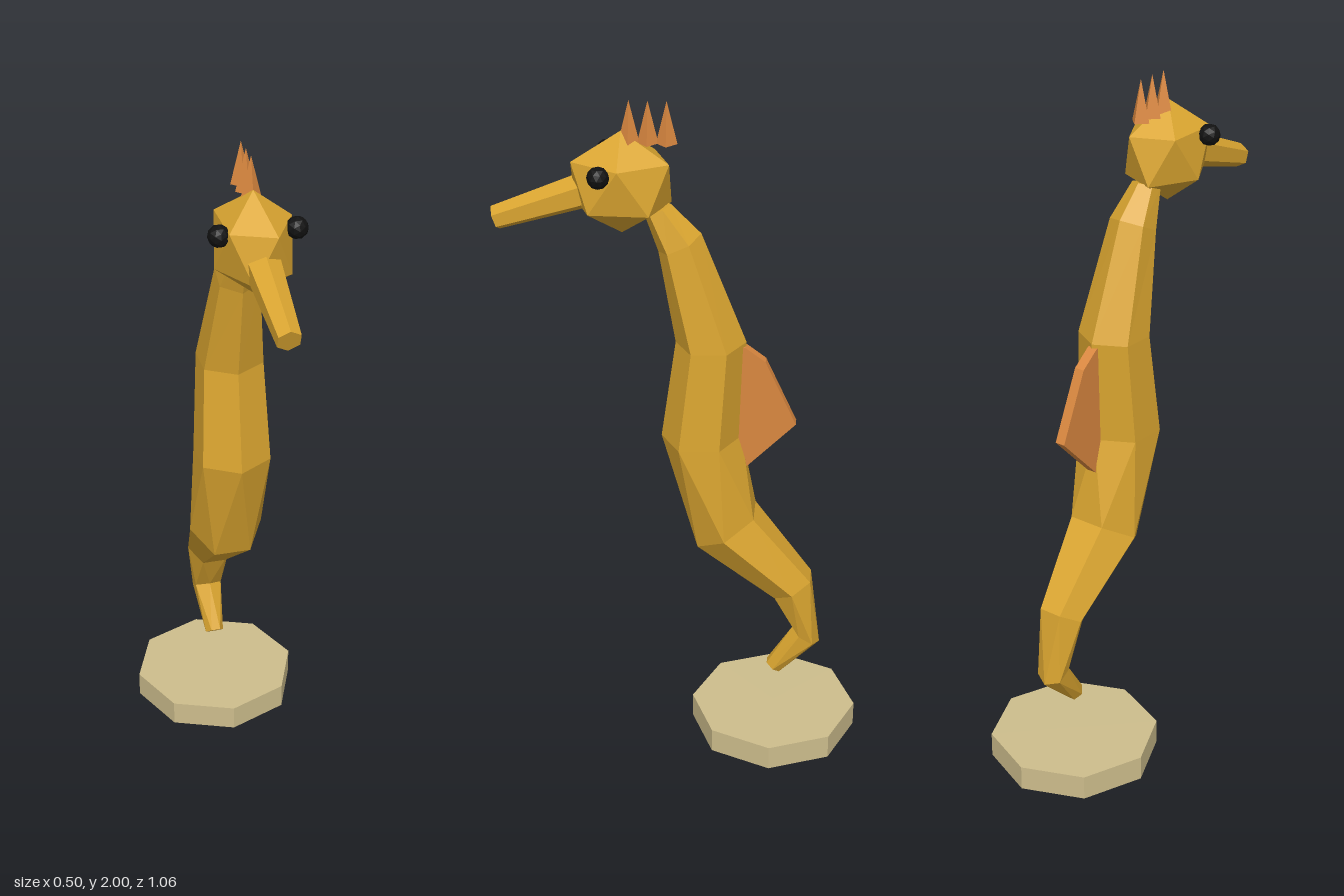
import * as THREE from 'three';
import { ConvexGeometry } from 'three/addons/geometries/ConvexGeometry.js';

const material = (name, color) => {
  const m = new THREE.MeshStandardMaterial({ color, flatShading: true });
  m.name = name;
  return m;
};

// Six-sided skin through rings [y, z, radius, tilt, twist in degrees], all centred on x = 0
function ringSkin(rings) {
  const sides = 6, pos = [], idx = [];
  for (const [y, z, r, tilt, twist] of rings) {
    for (let k = 0; k < sides; k++) {
      const a = THREE.MathUtils.degToRad(k * 60 + twist);
      const f = r * Math.cos(a);
      pos.push(r * Math.sin(a), y + f * Math.sin(tilt), z + f * Math.cos(tilt));
    }
  }
  for (let i = 0; i < rings.length - 1; i++) {
    for (let k = 0; k < sides; k++) {
      const a = i * sides + k, b = i * sides + (k + 1) % sides;
      idx.push(a, a + sides, b, b, a + sides, b + sides);
    }
  }
  // End caps
  const last = (rings.length - 1) * sides;
  for (let k = 1; k < sides - 1; k++) {
    idx.push(0, k, k + 1, last, last + k + 1, last + k);
  }
  const g = new THREE.BufferGeometry();
  g.setAttribute('position', new THREE.Float32BufferAttribute(pos, 3));
  g.setIndex(idx);
  const flat = g.toNonIndexed();
  flat.computeVertexNormals();
  return flat;
}

// Twenty-faced head with a vertex straight up and a five-point ring above and below the middle
function headGeometry(rx, ry, rz) {
  const pts = [new THREE.Vector3(0, ry, 0), new THREE.Vector3(0, -ry, 0)];
  for (const s of [1, -1]) {
    for (let k = 0; k < 5; k++) {
      const a = k * Math.PI * 2 / 5;
      pts.push(new THREE.Vector3(s * 0.894 * Math.cos(a) * rx, s * 0.447 * ry, 0.894 * Math.sin(a) * rz));
    }
  }
  return new ConvexGeometry(pts);
}

export function createModel() {
  const gold = material('goldSkin', 0xdaa530);
  const orange = material('orangeFin', 0xd9873f);
  const black = material('blackEye', 0x111111);
  const sand = material('sandBase', 0xcdbd8c);

  const model = new THREE.Group();
  model.name = 'seahorse';
  const add = (name, geometry, mat, x = 0, y = 0, z = 0) => {
    const mesh = new THREE.Mesh(geometry, mat);
    mesh.name = name;
    mesh.position.set(x, y, z);
    model.add(mesh);
    return mesh;
  };

  // Base
  add('base', new THREE.CylinderGeometry(0.248, 0.248, 0.075, 8), sand, 0, 0.0375, -0.28);

  // Neck, trunk and curling tail
  add('body', ringSkin([
    [1.695, 0.07, 0.04, -0.3, 0],
    [1.595, 0.008, 0.066, -0.45, 0],
    [1.295, -0.08, 0.1, -0.04, 0],
    [0.995, -0.055, 0.116, -0.04, 0],
    [0.7, -0.13, 0.11, -0.55, 30],
    [0.5, -0.33, 0.07, -0.54, 30],
    [0.325, -0.374, 0.047, 0.53, 60],
    [0.205, -0.277, 0.028, 0.68, 90],
  ]), gold);

  // Head
  add('head', headGeometry(0.118, 0.147, 0.157), gold, 0, 1.766, 0.167);

  // Snout, tapering forward and down
  const snoutStart = new THREE.Vector3(0, 1.746, 0.25), snoutEnd = new THREE.Vector3(0, 1.65, 0.517);
  const snoutAxis = snoutEnd.clone().sub(snoutStart);
  const snoutMid = snoutStart.clone().lerp(snoutEnd, 0.5);
  const snout = add('snout', new THREE.CylinderGeometry(0.035, 0.052, snoutAxis.length(), 6), gold, ...snoutMid);
  snout.quaternion.setFromUnitVectors(new THREE.Vector3(0, 1, 0), snoutAxis.normalize());

  // Eyes
  for (const s of [1, -1]) {
    add(s > 0 ? 'leftEye' : 'rightEye', new THREE.IcosahedronGeometry(0.031, 1), black, s * 0.105, 1.817, 0.217);
  }

  // Crest spikes
  [0.145, 0.094, 0.043].forEach((z, i) => {
    add('crestSpike' + (i + 1), new THREE.ConeGeometry(0.029, 0.12, 4), orange, 0, 1.94, z);
  });

  // Back fin, drawn as (distance backward, height)
  const outline = [[0.16, 1.29], [0.178, 1.287], [0.235, 1.245], [0.325, 1.05], [0.185, 0.905], [0.16, 0.93]];
  const shape = new THREE.Shape(outline.map(([d, y]) => new THREE.Vector2(d, y)));
  const fin = new THREE.ExtrudeGeometry(shape, { depth: 0.03, bevelEnabled: false });
  fin.translate(0, 0, -0.015);
  fin.rotateY(Math.PI / 2);
  add('backFin', fin, orange);

  return model;
}
